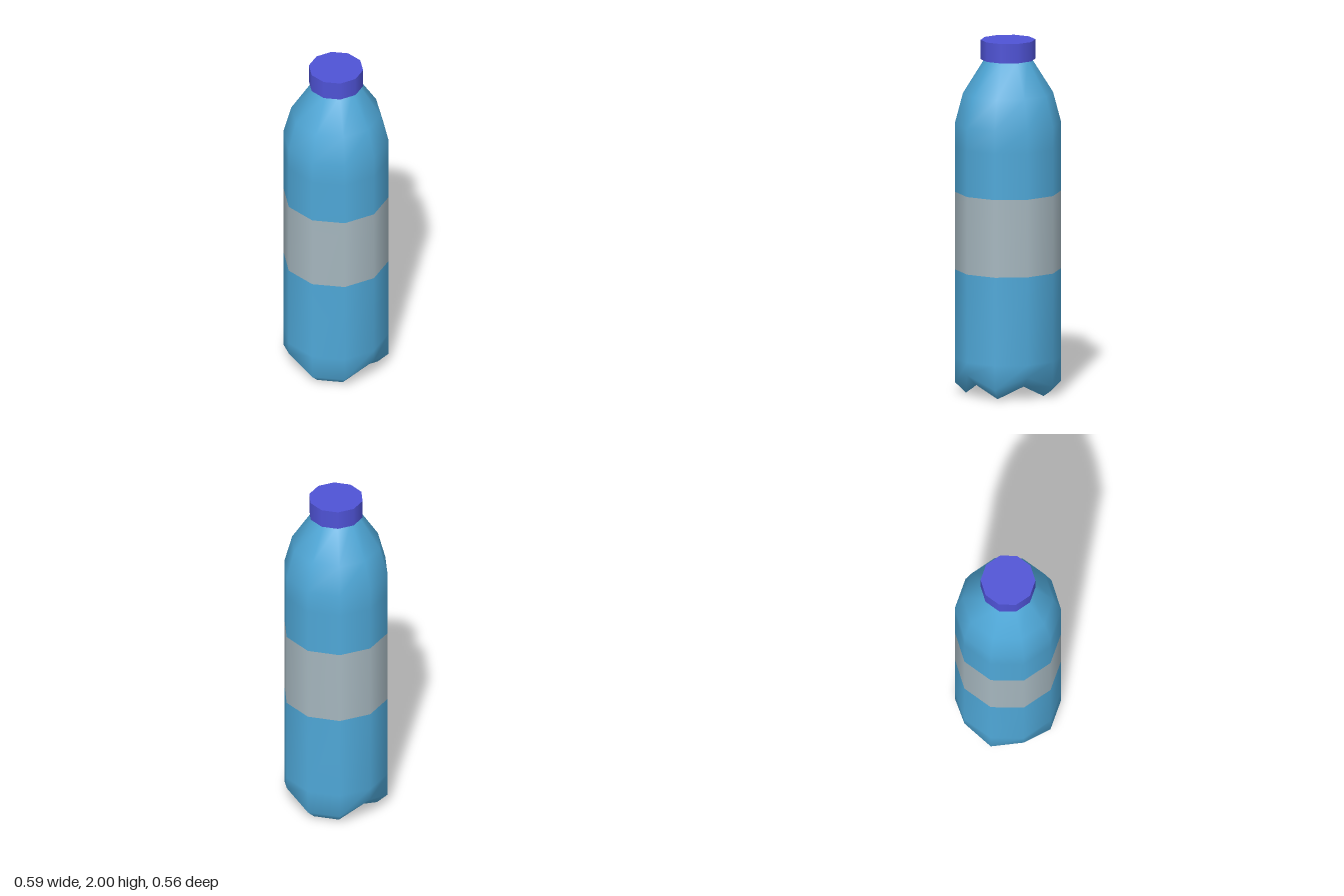
import * as THREE from 'three';

const SIDES = 10;
// Which corners of the base are lifted into notches between the four feet
const NOTCHES = [0, 3, 5, 8];
const LIFT = 0.07;

const paint = (name, color) => {
  const m = new THREE.MeshStandardMaterial({ color });
  m.name = name;
  return m;
};

function corner(radius, y, i) {
  const a = (i / SIDES) * Math.PI * 2;
  return [radius * Math.cos(a), y, radius * Math.sin(a)];
}

const lift = (i) => (NOTCHES.includes(i % SIDES) ? LIFT : 0);

// Smooth ten-sided shell; each ring is [radius, y, follows the feet, material of the strip above]
function shellGeometry() {
  const rings = [
    [0.235, 0, true, 0],
    [0.297, 0.06, true, 0],
    [0.297, 0.2, false, 0],
    [0.297, 0.70, false, 0],
    [0.297, 1.14, false, 0],
    [0.297, 1.40, false, 0],
    [0.297, 1.53, false, 0],
    [0.252, 1.70, false, 0],
    [0.130, 1.895, false, 0],
  ];
  rings[3][3] = 1; // label strip
  const pos = [], index = [];
  const geo = new THREE.BufferGeometry();
  rings.forEach(([r, y, feet]) => {
    for (let i = 0; i < SIDES; i++) pos.push(...corner(r, y + (feet ? lift(i) : 0), i));
  });
  for (let k = 0; k < rings.length - 1; k++) {
    geo.addGroup(index.length, SIDES * 6, rings[k][3]);
    for (let i = 0; i < SIDES; i++) {
      const j = (i + 1) % SIDES;
      const a = k * SIDES + i, b = k * SIDES + j;
      index.push(a, a + SIDES, b, b, a + SIDES, b + SIDES);
    }
  }
  geo.setAttribute('position', new THREE.Float32BufferAttribute(pos, 3));
  geo.setIndex(index);
  geo.computeVertexNormals();
  return geo;
}

// Faceted underside: a raised middle with four feet sloping down from it
function undersideGeometry() {
  const faces = [NOTCHES, [0, 1, 2, 3], [3, 4, 5], [5, 6, 7, 8], [8, 9, 0]];
  const pos = [];
  for (const f of faces) {
    for (let n = 1; n < f.length - 1; n++) {
      for (const i of [f[0], f[n], f[n + 1]]) pos.push(...corner(0.235, lift(i), i));
    }
  }
  const geo = new THREE.BufferGeometry();
  geo.setAttribute('position', new THREE.Float32BufferAttribute(pos, 3));
  geo.computeVertexNormals();
  return geo;
}

export function createModel() {
  const blue = paint('bottle blue', 0x4fa8d8);
  const grey = paint('label grey', 0xa6b7bf);
  const violet = paint('cap violet', 0x4f53d6);

  const group = new THREE.Group();
  group.name = 'bottle';
  const add = (name, geometry, material) => {
    const mesh = new THREE.Mesh(geometry, material);
    mesh.name = name;
    group.add(mesh);
    return mesh;
  };

  add('bodyWithLabel', shellGeometry(), [blue, grey]);
  add('underside', undersideGeometry(), blue);

  // Screw cap, turned so a corner points along x like the body
  const cap = add('cap', new THREE.CylinderGeometry(0.153, 0.153, 0.11, SIDES, 1, false, Math.PI / 2), violet);
  cap.position.y = 1.945;

  return group;
}
